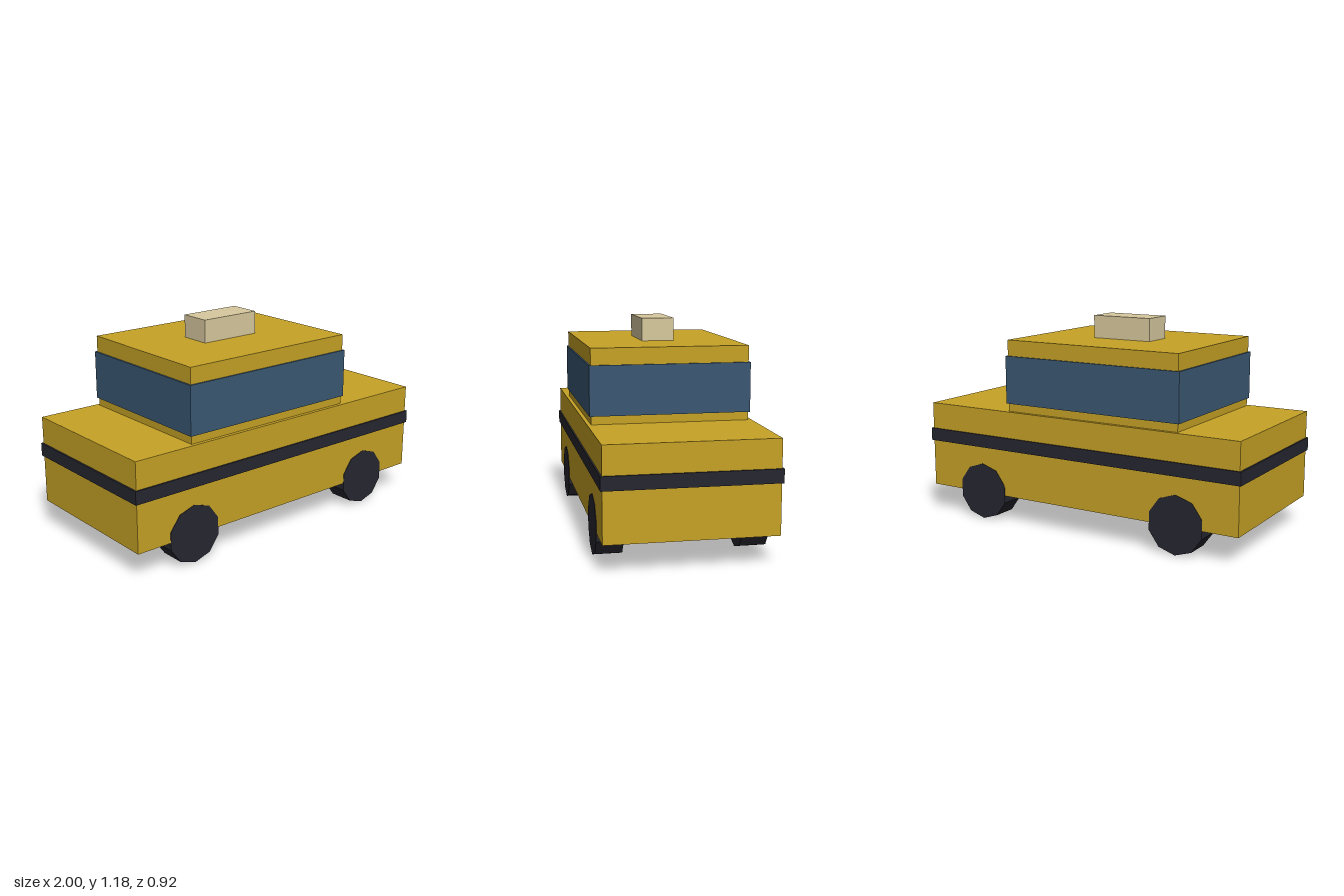
import * as THREE from 'three';

const material = (name, color) => {
  const m = new THREE.MeshStandardMaterial({ color });
  m.name = name;
  return m;
};

export function createModel() {
  const yellow = material('yellow paint', 0xc6a226);
  const glass = material('blue glass', 0x3a5873);
  const dark = material('dark rubber', 0x262630);
  const cream = material('cream sign', 0xd8c99e);

  const car = new THREE.Group();
  car.name = 'car';

  // Box from x and y ranges, symmetric in z
  const box = (name, mat, x0, x1, y0, y1, halfZ) => {
    const mesh = new THREE.Mesh(new THREE.BoxGeometry(x1 - x0, y1 - y0, halfZ * 2), mat);
    mesh.name = name;
    mesh.position.set((x0 + x1) / 2, (y0 + y1) / 2, 0);
    car.add(mesh);
  };

  box('body', yellow, -0.99, 0.99, 0.155, 0.65, 0.449);
  box('stripe', dark, -1, 1, 0.425, 0.498, 0.458);
  box('cabin', yellow, -0.63, 0.445, 0.65, 1.055, 0.428);
  box('windowBand', glass, -0.64, 0.455, 0.695, 0.965, 0.437);
  box('roofSign', cream, -0.27, 0.088, 1.055, 1.182, 0.09);

  // Ten-sided wheels, outer faces just proud of the body sides
  const radius = 0.163;
  const wheelGeometry = new THREE.CylinderGeometry(radius, radius, 0.142, 10)
    .rotateX(Math.PI / 2)
    .toNonIndexed();
  wheelGeometry.computeVertexNormals();
  for (const [end, x] of [['Left', 0.627], ['Right', -0.633]]) {
    for (const [side, s] of [['front', 1], ['rear', -1]]) {
      const wheel = new THREE.Mesh(wheelGeometry, dark);
      wheel.name = `${side}${end}Wheel`;
      wheel.position.set(x, radius, s * 0.381);
      car.add(wheel);
    }
  }
  return car;
}
